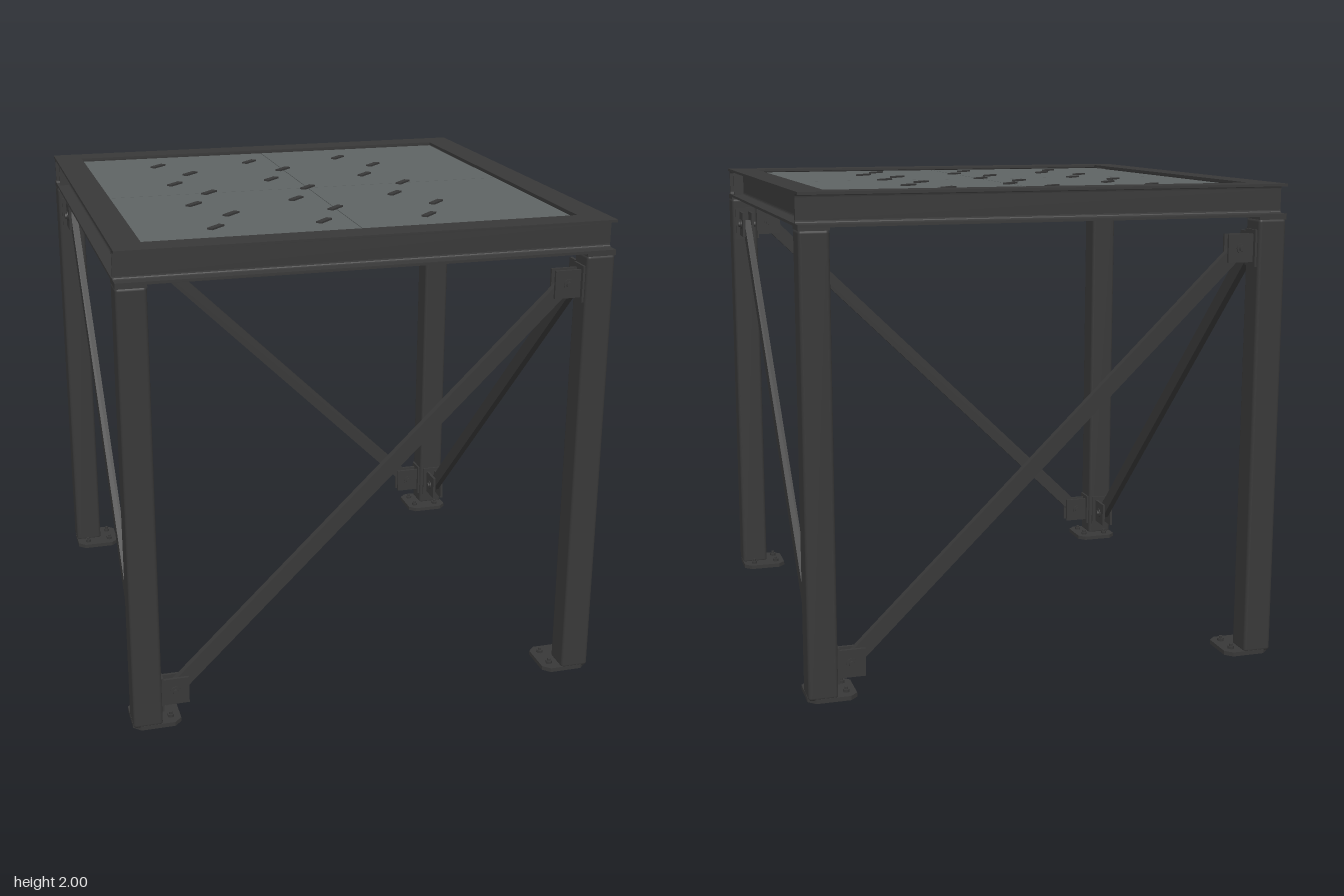
import * as THREE from 'three';
import { RoundedBoxGeometry } from 'three/addons/geometries/RoundedBoxGeometry.js';

const steel = new THREE.MeshStandardMaterial({ color: 0x383838 });
steel.name = 'dark steel';
const deck = new THREE.MeshStandardMaterial({ color: 0x5e6363 });
deck.name = 'grey deck';

function add(parent, name, geometry, material, x = 0, y = 0, z = 0) {
  const mesh = new THREE.Mesh(geometry, material);
  mesh.name = name;
  mesh.position.set(x, y, z);
  parent.add(mesh);
  return mesh;
}

const box = (w, h, d) => new THREE.BoxGeometry(w, h, d);

// I-section with small root fillets, extruded along z and centred
function iBeam(length) {
  const W = 0.06, H = 0.066, T = 0.011, w = 0.005, r = 0.012;
  const s = new THREE.Shape();
  s.moveTo(-W, -H);
  s.lineTo(W, -H);
  s.lineTo(W, -H + T);
  s.lineTo(w + r, -H + T);
  s.quadraticCurveTo(w, -H + T, w, -H + T + r);
  s.lineTo(w, H - T - r);
  s.quadraticCurveTo(w, H - T, w + r, H - T);
  s.lineTo(W, H - T);
  s.lineTo(W, H);
  s.lineTo(-W, H);
  s.lineTo(-W, H - T);
  s.lineTo(-w - r, H - T);
  s.quadraticCurveTo(-w, H - T, -w, H - T - r);
  s.lineTo(-w, -H + T + r);
  s.quadraticCurveTo(-w, -H + T, -w - r, -H + T);
  s.lineTo(-W, -H + T);
  s.closePath();
  const g = new THREE.ExtrudeGeometry(s, { depth: length, bevelEnabled: false, curveSegments: 4 });
  return g.translate(0, 0, -length / 2);
}

// Square base plate with cut corners, lying flat
function basePlate() {
  const a = 0.1, c = 0.03;
  const s = new THREE.Shape([
    [-a + c, -a], [a - c, -a], [a, -a + c], [a, a - c],
    [a - c, a], [-a + c, a], [-a, a - c], [-a, -a + c],
  ].map(([x, y]) => new THREE.Vector2(x, y)));
  return new THREE.ExtrudeGeometry(s, { depth: 0.018, bevelEnabled: false }).rotateX(-Math.PI / 2);
}

// Column with base plate, anchor bolts and cap, at one corner
function makeLeg(sx, sz) {
  const leg = new THREE.Group();
  leg.name = 'leg';
  add(leg, 'column', new RoundedBoxGeometry(0.12, 1.85, 0.12, 3, 0.014), steel, sx * 0.94, 0.935, sz * 0.94);
  add(leg, 'capPlate', box(0.12, 0.012, 0.12), steel, sx * 0.94, 1.862, sz * 0.94);
  add(leg, 'basePlate', basePlate(), steel, sx * 0.9, 0, sz * 0.9);
  for (const [x, z] of [[0.84, 0.85], [0.84, 0.95], [0.95, 0.84]]) {
    add(leg, 'anchorNut', new THREE.CylinderGeometry(0.014, 0.014, 0.012, 6), steel, sx * x, 0.024, sz * z);
    add(leg, 'anchorBolt', new THREE.CylinderGeometry(0.007, 0.007, 0.022, 10), steel, sx * x, 0.029, sz * z);
  }
  return leg;
}

// Diagonal brace in the local xy plane; dir = 1 rises towards +x
function makeBrace(dir) {
  const brace = new THREE.Group();
  brace.name = 'brace';
  const dx = 1.64, dy = 1.6;
  const bar = add(brace, 'diagonalBar', box(Math.hypot(dx, dy), 0.062, 0.03), steel, 0, 0.94, 0);
  bar.rotation.z = dir * Math.atan2(dy, dx);
  for (const end of [-1, 1]) {
    const s = end * dir, y = 0.94 + end * 0.8;
    for (const side of [-1, 1]) {
      add(brace, 'gussetPlate', box(0.115, 0.115, 0.012), steel, s * 0.82, y, side * 0.021);
      const washer = add(brace, 'washer', new THREE.CylinderGeometry(0.022, 0.022, 0.005, 20), steel, s * 0.82, y, side * 0.029);
      const bolt = add(brace, 'bolt', new THREE.CylinderGeometry(0.013, 0.013, 0.014, 6), steel, s * 0.82, y, side * 0.034);
      washer.rotation.x = bolt.rotation.x = Math.PI / 2;
    }
    add(brace, 'gussetFoot', box(0.01, 0.15, 0.09), steel, s * 0.876, y, 0);
  }
  return brace;
}

export function createModel() {
  const model = new THREE.Group();
  model.name = 'steelPlatform';

  // Legs at the four corners
  for (const sx of [-1, 1]) for (const sz of [-1, 1]) model.add(makeLeg(sx, sz));

  // Long beams front and back, short beams between them
  for (const s of [-1, 1]) {
    add(model, 'longBeam', iBeam(2), steel, 0, 1.934, s * 0.94).rotation.y = Math.PI / 2;
    add(model, 'sideBeam', iBeam(1.76), steel, s * 0.94, 1.934, 0);
    for (const e of [-1, 1])
      add(model, 'beamEndPlate', box(0.1, 0.11, 0.012), steel, s * 0.94, 1.934, e * 0.874);
  }

  // One diagonal brace in each side
  for (const s of [-1, 1]) {
    const facing = makeBrace(s);
    facing.position.z = s * 0.94;
    model.add(facing);
    const side = makeBrace(-s);
    side.rotation.y = Math.PI / 2;
    side.position.x = s * 0.94;
    // local +x points to -z here
    model.add(side);
  }

  // Deck of four panels with narrow joints
  for (const sx of [-1, 1]) for (const sz of [-1, 1])
    add(model, 'deckPanel', box(0.878, 0.014, 0.878), deck, sx * 0.441, 1.978, sz * 0.441);
  add(model, 'deckJointLong', box(0.006, 0.01, 1.76), deck, 0, 1.977, 0);
  add(model, 'deckJointCross', box(1.76, 0.01, 0.006), deck, 0, 1.977, 0);

  // Raised tread bars in staggered rows
  for (let row = -3; row <= 3; row++) {
    const shift = row % 2 ? -0.11 : 0;
    for (let col = -1; col <= 1; col++) {
      const x = col * 0.44 + shift;
      add(model, 'treadBar', box(0.085, 0.008, 0.026), steel, x, 1.988, row * 0.22).rotation.y = Math.PI / 4;
    }
  }
  return model;
}
